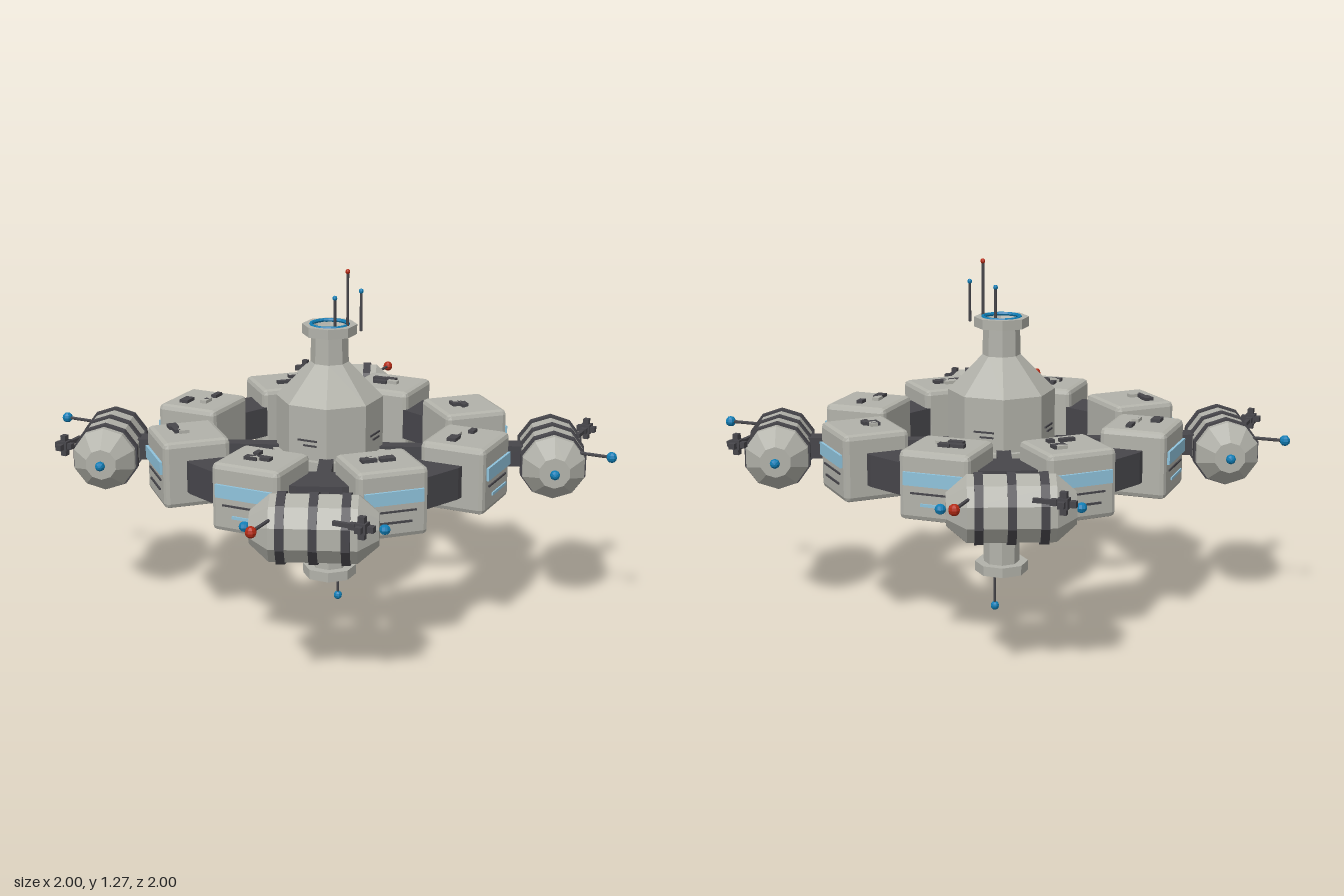
import * as THREE from 'three';
import { RoundedBoxGeometry } from 'three/addons/geometries/RoundedBoxGeometry.js';

const MID = 0.605; // height of the ring plane

function mat(name, color) {
  const m = new THREE.MeshStandardMaterial({ color, flatShading: true });
  m.name = name;
  return m;
}

export function createModel() {
  const hull = mat('hullGrey', 0xb2b2aa);
  const dark = mat('darkGrey', 0x47464b);
  const glass = mat('windowBlue', 0x8fc3dc);
  const blue = mat('beaconBlue', 0x0f7db5);
  const red = mat('beaconRed', 0xb52a15);

  let seed = 7;
  const rnd = (a, b) => {
    seed = (seed * 16807) % 2147483647;
    return a + (b - a) * (seed / 2147483647);
  };

  const add = (parent, name, geo, material, x = 0, y = 0, z = 0) => {
    const m = new THREE.Mesh(geo, material);
    m.name = name;
    m.position.set(x, y, z);
    parent.add(m);
    return m;
  };
  const box = (parent, name, material, w, h, d, x, y, z) =>
    add(parent, name, new THREE.BoxGeometry(w, h, d), material, x, y, z);
  const ball = (parent, name, material, r, x, y, z) =>
    add(parent, name, new THREE.SphereGeometry(r, 8, 6), material, x, y, z);
  const lathe = (pts, sides, phase = 0) =>
    new THREE.LatheGeometry(pts.map(p => new THREE.Vector2(p[0], p[1])), sides, phase);
  const group = (parent, name, angle) => {
    const g = new THREE.Group();
    g.name = name;
    g.rotation.y = angle;
    parent.add(g);
    return g;
  };

  const model = new THREE.Group();
  model.name = 'spaceStation';

  // Central hub: eight-sided body with necks and docking collars
  add(model, 'hub', lathe([
    [0, 0.15], [0.062, 0.15], [0.07, 0.132], [0.097, 0.132], [0.097, 0.168], [0.065, 0.168],
    [0.065, 0.272], [0.19, 0.4], [0.19, 0.81], [0.068, 0.935], [0.065, 1.035],
    [0.097, 1.035], [0.097, 1.07], [0.07, 1.07], [0.062, 1.052], [0, 1.052]
  ], 8, Math.PI / 8), hull);
  for (const y of [0.136, 1.068]) {
    add(model, 'dockingRing', new THREE.TorusGeometry(0.066, 0.007, 6, 24), blue, 0, y, 0).rotation.x = Math.PI / 2;
  }

  // Antennas above and below the hub
  const mast = (x, z, y0, y1, r, material) => {
    add(model, 'mast', new THREE.CylinderGeometry(0.005, 0.005, Math.abs(y1 - y0), 6), dark, x, (y0 + y1) / 2, z);
    ball(model, 'mastBeacon', material, r, x, y1, z);
  };
  mast(0.03, 0.02, 1.05, 1.168, 0.009, blue);
  mast(0.07, 0, 1.05, 1.262, 0.009, red);
  mast(0.11, -0.025, 1.05, 1.192, 0.009, blue);
  mast(0, -0.07, 0.14, 0.018, 0.016, blue);

  // Armour panels and vents around the hub
  for (let i = 0; i < 8; i++) {
    const g = group(model, 'hubSide', i * Math.PI / 4);
    box(g, 'hubPanel', hull, 0.11, 0.12, 0.022, 0, 0.56, 0.185);
    if (i % 2 === 0) {
      box(g, 'hubVent', dark, 0.075, 0.006, 0.006, 0, 0.69, 0.177);
      box(g, 'hubVent', dark, 0.05, 0.006, 0.006, 0.01, 0.672, 0.177);
    } else {
      box(g, 'hubVent', dark, 0.06, 0.006, 0.006, 0, 0.46, 0.177);
    }
  }

  // Connecting ring
  add(model, 'ring', lathe([
    [0.575, 0.55], [0.575, 0.662], [0.418, 0.662], [0.418, 0.55], [0.575, 0.55]
  ], 24), dark);

  // Eight habitat modules on the ring
  const moduleGeo = new RoundedBoxGeometry(0.25, 0.235, 0.236, 1, 0.018);
  for (let i = 0; i < 8; i++) {
    const g = group(model, 'habitatModule', i * Math.PI / 4);
    add(g, 'moduleHull', moduleGeo, hull, 0, 0.61, 0.52);
    box(g, 'window', glass, 0.208, 0.045, 0.009, 0, 0.637, 0.644);
    if (i % 2 === 0) box(g, 'lowerWindow', glass, 0.13, 0.01, 0.006, 0.02, 0.55, 0.64);
    else box(g, 'vent', dark, 0.13, 0.007, 0.006, 0, 0.55, 0.64);
    box(g, 'vent', dark, 0.16, 0.006, 0.006, 0, 0.588, 0.64);
    for (let k = 0; k < 4; k++) {
      box(g, 'roofUnit', k === 3 ? hull : dark, rnd(0.02, 0.055), 0.014, rnd(0.015, 0.035),
        rnd(-0.06, 0.06), 0.732, 0.52 + rnd(-0.05, 0.05));
    }
  }

  // Four spokes, each with an outer pod
  const podGeo = lathe([
    [0, -0.205], [0.055, -0.205], [0.113, -0.14], [0.113, 0.14], [0.055, 0.205], [0, 0.205]
  ], 10, Math.PI / 10);
  const bandGeo = new THREE.CylinderGeometry(0.12, 0.12, 0.028, 10, 1, false, Math.PI / 10);
  for (let i = 0; i < 4; i++) {
    const quarter = group(model, 'quarter', i * Math.PI / 2);
    const arm = group(quarter, 'podArm', Math.PI / 8);
    box(arm, 'spoke', dark, 0.05, 0.05, 0.28, 0, MID, 0.3);
    box(arm, 'podConnector', dark, 0.07, 0.075, 0.16, 0, MID, 0.63);

    // Pod lies along the tangent
    const pod = new THREE.Group();
    pod.name = 'pod';
    pod.position.set(0, 0.6, 0.79);
    pod.rotation.z = -Math.PI / 2;
    arm.add(pod);
    add(pod, 'podHull', podGeo, hull);
    for (const y of [-0.103, 0, 0.103]) add(pod, 'podBand', bandGeo, dark, 0, y, 0);
    for (const y of [-0.222, 0.222]) ball(pod, 'podBeacon', blue, 0.018, 0, y, 0);

    // Outward antenna
    const rod = add(quarter, 'podAntenna', new THREE.CylinderGeometry(0.006, 0.006, 0.17, 6), dark, 0.21, 0.655, 0.89);
    rod.rotation.x = Math.PI / 2;
    ball(quarter, 'antennaBeacon', i % 2 ? blue : red, 0.019, 0.21, 0.655, 0.979);

    // Thruster cluster on a short arm
    const t = new THREE.Group();
    t.name = 'thrusterCluster';
    t.position.set(0.498, 0.655, 0.795);
    quarter.add(t);
    box(t, 'thrusterArm', dark, 0.09, 0.014, 0.014, -0.055, 0, 0);
    box(t, 'thrusterBlock', dark, 0.034, 0.034, 0.034, 0, 0, 0);
    for (const s of [-1, 1]) {
      box(t, 'nozzle', dark, 0.02, 0.02, 0.022, s * 0.032, 0, 0);
      box(t, 'nozzle', dark, 0.022, 0.022, 0.02, 0, s * 0.026, 0);
      box(t, 'nozzle', dark, 0.022, 0.02, 0.02, 0, 0, s * 0.024);
    }
  }
  return model;
}
